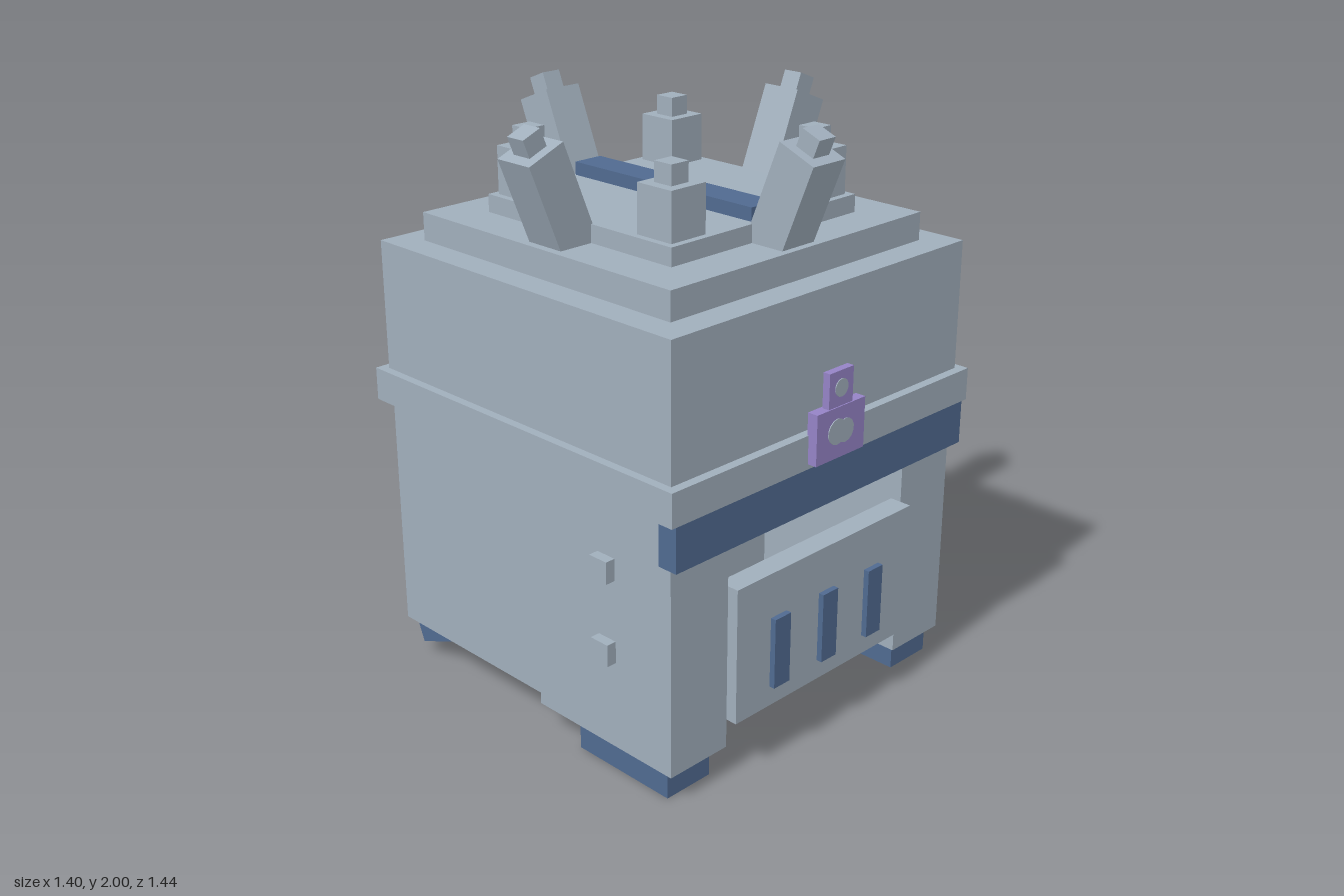
import * as THREE from 'three';

export function createModel() {
  const model = new THREE.Group();
  model.name = 'armouredBox';
  const mat = (name, color) => {
    const m = new THREE.MeshStandardMaterial({ color });
    m.name = name;
    return m;
  };
  const grey = mat('blue grey', 0xa0aebb);
  const blue = mat('dark blue', 0x506a90);
  const purple = mat('purple', 0x9583c6);

  // Box given by its extents on each axis
  const box = (name, material, [x0, x1], [y0, y1], [z0, z1], parent = model) => {
    const mesh = new THREE.Mesh(new THREE.BoxGeometry(x1 - x0, y1 - y0, z1 - z0), material);
    mesh.position.set((x0 + x1) / 2, (y0 + y1) / 2, (z0 + z1) / 2);
    mesh.name = name;
    parent.add(mesh);
    return mesh;
  };
  const MID = -0.0175; // z of the body's centre line
  const slab = (name, material, halfX, y, halfZ) =>
    box(name, material, [-halfX, halfX], y, [MID - halfZ, MID + halfZ]);

  // Lower body: rear block, lintel over the open front bay
  box('rearBody', grey, [-0.665, 0.665], [0.14, 0.975], [-0.68, 0.04]);
  box('lintel', grey, [-0.42, 0.42], [0.82, 0.975], [0.04, 0.645]);

  // Pillars, feet and side knobs, mirrored
  for (const s of [-1, 1]) {
    const span = (a, b) => (s > 0 ? [a, b] : [-b, -a]);
    box('frontPillar', grey, span(0.42, 0.665), [0.1, 0.975], [0.04, 0.645]);
    box('foot', blue, span(0.46, 0.645), [0, 0.1], [0.21, 0.61]);
    for (const y of [0.405, 0.69])
      box('sideKnob', grey, span(0.665, 0.7), [y, y + 0.075], [0.33, 0.405]);
  }

  // Front panel with three bars, and the band above it
  box('frontPanel', grey, [-0.42, 0.42], [0.2, 0.67], [0.605, 0.685]);
  for (const x of [-0.23, -0.002, 0.225])
    box('panelBar', blue, [x - 0.036, x + 0.036], [0.27, 0.515], [0.68, 0.705]);
  box('frontBand', blue, [-0.68, 0.68], [0.82, 0.972], [0.61, 0.682]);

  // Tilted bar under the back edge
  const flap = box('rearBar', blue, [-0.63, 0.63], [0.07, 0.24], [-0.677, -0.489]);
  flap.rotation.x = -0.385;

  // Upper body and stepped lid
  slab('rim', grey, 0.7, [0.972, 1.085], 0.7025);
  slab('upperBody', grey, 0.67, [1.085, 1.53], 0.67);
  slab('lidStep', grey, 0.57, [1.53, 1.625], 0.5675);
  slab('lidPlate', grey, 0.418, [1.625, 1.685], 0.418);
  slab('lidStrip', blue, 0.056, [1.685, 1.73], 0.4);

  // Upright posts with small caps
  for (const x of [-0.322, 0.322]) {
    for (const dz of [-0.322, 0.322]) {
      const z = MID + dz;
      box('cornerPost', grey, [x - 0.072, x + 0.072], [1.68, 1.845], [z - 0.072, z + 0.072]);
      box('cornerPostCap', grey, [x - 0.036, x + 0.036], [1.84, 1.91], [z - 0.036, z + 0.036]);
    }
  }

  // Leaning posts on the four sides
  for (let i = 0; i < 4; i++) {
    const arm = new THREE.Group();
    arm.name = 'leaningPostArm';
    arm.position.z = MID;
    arm.rotation.y = (i * Math.PI) / 2;
    const post = new THREE.Group();
    post.name = 'leaningPost';
    post.position.set(0.588, 1.93, 0);
    post.rotation.z = -0.385;
    box('postShaft', grey, [-0.072, 0.072], [-0.36, 0], [-0.072, 0.072], post);
    box('postCap', grey, [-0.036, 0.036], [-0.005, 0.062], [-0.036, 0.036], post);
    arm.add(post);
    model.add(arm);
  }

  // Latch on the front rim with round inlays
  box('latchBase', purple, [-0.113, 0.113], [0.99, 1.16], [0.68, 0.718]);
  box('latchTop', purple, [-0.056, 0.056], [1.16, 1.277], [0.688, 0.714]);
  const inlay = (name, x, y, r, z) => {
    const mesh = new THREE.Mesh(new THREE.CylinderGeometry(r, r, 0.006, 14), grey);
    mesh.rotation.x = Math.PI / 2;
    mesh.position.set(x, y, z);
    mesh.name = name;
    model.add(mesh);
  };
  inlay('latchInlayRight', -0.018, 1.08, 0.043, 0.718);
  inlay('latchInlayLeft', 0.02, 1.075, 0.04, 0.7175);
  inlay('latchInlayTop', 0, 1.22, 0.03, 0.714);

  return model;
}
